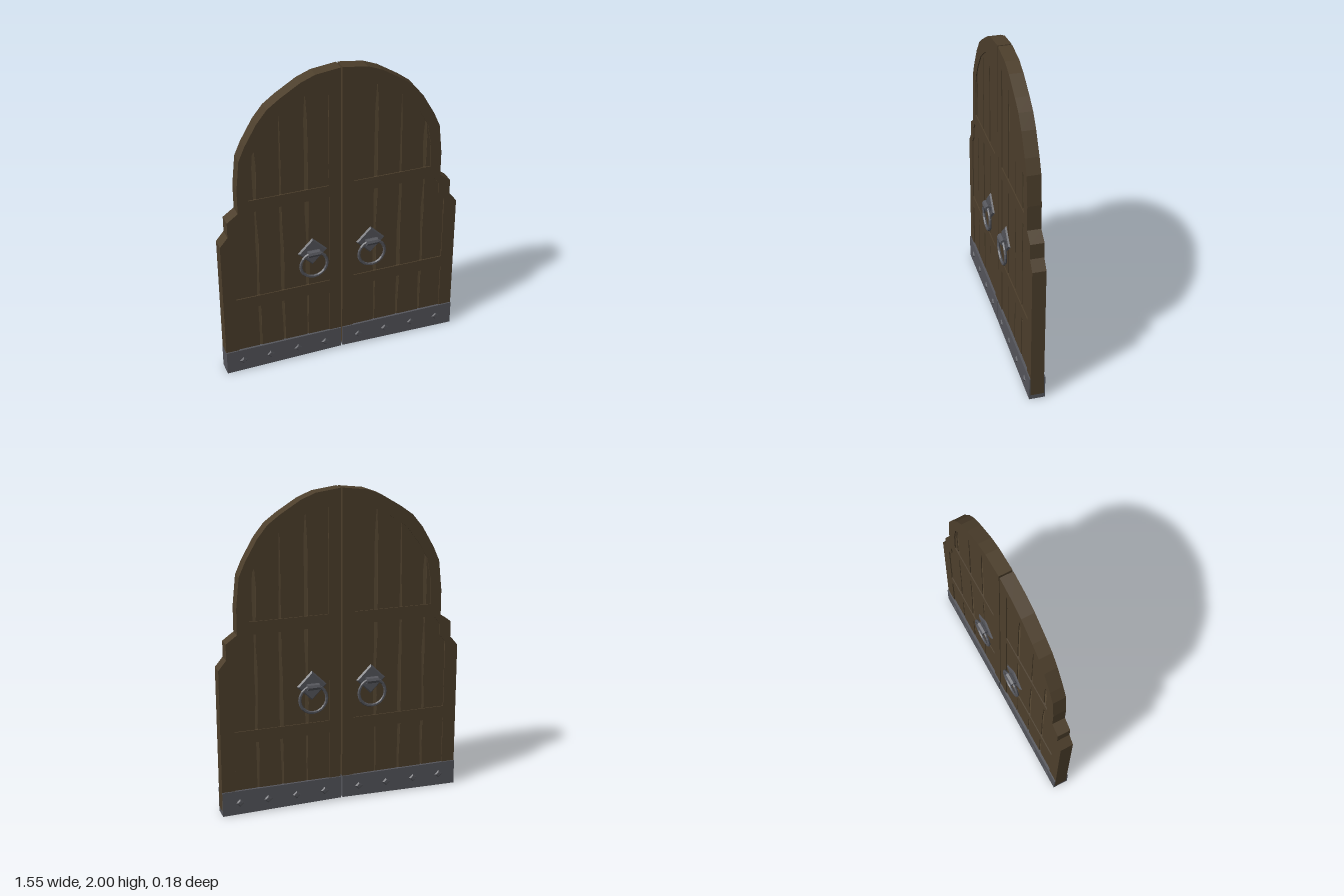
import * as THREE from 'three';

const material = (color) => new THREE.MeshStandardMaterial({ color, flatShading: true, roughness: 0.9 });
const wood = material(0x4d3f2c);
const seamWood = material(0x5c4c36);
const iron = material(0x55565c);

// Outline of one leaf, from the meeting edge round to the crown
const LEAF = [[0.005, 0.03], [0.775, 0.03], [0.775, 0.95], [0.725, 1.01], [0.725, 1.11], [0.655, 1.16],
  [0.655, 1.32], [0.635, 1.51], [0.595, 1.6], [0.52, 1.73], [0.455, 1.81], [0.38, 1.865],
  [0.25, 1.945], [0.16, 1.98], [0.005, 2]];

// Openings of the frame, each filled with sunken planks
const PANELS = [
  [[0.08, 0.13], [0.69, 0.13], [0.69, 0.465], [0.08, 0.465]],
  [[0.08, 0.545], [0.69, 0.545], [0.69, 0.98], [0.65, 1.03], [0.65, 1.1], [0.61, 1.155], [0.08, 1.155]],
  [[0.08, 1.235], [0.585, 1.235], [0.58, 1.4], [0.557, 1.53], [0.5, 1.63], [0.42, 1.735],
    [0.3, 1.82], [0.2, 1.868], [0.08, 1.89]],
];

// Tops of the planks, listed from right to left
const PLANKS = [
  { x0: 0.07, x1: 0.225, top: [[0.225, 1.9], [0.07, 1.93]] },
  { x0: 0.225, x1: 0.385, top: [[0.385, 1.82], [0.225, 1.9]] },
  { x0: 0.385, x1: 0.545, top: [[0.545, 1.62], [0.385, 1.82]] },
  { x0: 0.545, x1: 0.7, top: [[0.7, 1.07], [0.63, 1.12], [0.62, 1.45], [0.545, 1.62]] },
];

function seeded(seed) {
  return () => {
    seed = (seed * 16807) % 2147483647;
    return seed / 2147483647;
  };
}

const shapeOf = (points) => new THREE.Shape(points.map(([x, y]) => new THREE.Vector2(x, y)));

// Extrusion centred on z = 0
function slab(shape, halfDepth) {
  const geometry = new THREE.ExtrudeGeometry(shape, { depth: halfDepth * 2, bevelEnabled: false });
  return geometry.translate(0, 0, -halfDepth);
}

function add(parent, name, geometry, mat, x = 0, y = 0, z = 0) {
  const mesh = new THREE.Mesh(geometry, mat);
  mesh.name = name;
  mesh.position.set(x, y, z);
  parent.add(mesh);
  return mesh;
}

// Plank with roughly hewn long edges
function plankShape({ x0, x1, top }, random) {
  const points = [[x0 + 0.006, 0.06], [x1 - 0.006, 0.06]];
  const rightTop = top[0][1];
  const leftTop = top[top.length - 1][1];
  const steps = 9;
  for (let i = 1; i < steps; i++) {
    points.push([x1 - 0.003 - random() * 0.011, 0.06 + (rightTop - 0.06) * i / steps]);
  }
  top.forEach((p) => points.push(p));
  for (let i = steps - 1; i > 0; i--) {
    points.push([x0 + 0.003 + random() * 0.011, 0.06 + (leftTop - 0.06) * i / steps]);
  }
  return shapeOf(points);
}

// Ring handle on a diamond plate, facing +z
function createHandle() {
  const handle = new THREE.Group();
  handle.name = 'ringHandle';
  const plate = new THREE.CylinderGeometry(0.084, 0.096, 0.01, 4).rotateX(Math.PI / 2);
  add(handle, 'handlePlate', plate, iron, 0, 0.79, 0.045);
  const barrel = new THREE.CylinderGeometry(0.022, 0.022, 0.076, 8).rotateZ(Math.PI / 2);
  add(handle, 'handleBarrel', barrel, iron, 0, 0.79, 0.068);
  add(handle, 'handleRing', new THREE.TorusGeometry(0.087, 0.01, 6, 20), iron, 0, 0.71, 0.068);
  return handle;
}

function createLeaf() {
  const leaf = new THREE.Group();
  const random = seeded(41);

  // Frame with openings
  const frame = shapeOf(LEAF);
  PANELS.forEach((panel) => frame.holes.push(shapeOf(panel)));
  add(leaf, 'frame', slab(frame, 0.042), wood);

  // Seam backing and planks
  PANELS.forEach((panel) => add(leaf, 'panelBacking', slab(shapeOf(panel), 0.03), seamWood));
  PLANKS.forEach((plank, i) => {
    add(leaf, 'plank', slab(plankShape(plank, random), 0.036 - (i % 2) * 0.001), wood);
  });

  // Iron kick band
  const band = shapeOf([[0.005, 0.014], [0.775, 0], [0.775, 0.158], [0.005, 0.158]]);
  add(leaf, 'kickBand', slab(band, 0.05), iron);

  // Studs and handles on both faces
  for (const side of [0, 1]) {
    const face = new THREE.Group();
    face.name = side ? 'backFittings' : 'frontFittings';
    face.rotation.y = side * Math.PI;
    const sign = side ? -1 : 1;
    for (const x of [0.115, 0.3, 0.485, 0.665]) {
      const stud = new THREE.CylinderGeometry(0.016, 0.028, 0.009, 4).rotateX(Math.PI / 2);
      add(face, 'stud', stud, iron, sign * x, 0.078, 0.053);
    }
    const handle = createHandle();
    handle.position.x = sign * 0.192;
    face.add(handle);
    leaf.add(face);
  }
  return leaf;
}

export function createModel() {
  const door = new THREE.Group();
  door.name = 'archedDoubleDoor';
  const left = createLeaf();
  left.name = 'leftLeaf';
  // The other leaf is the same one turned half round
  const right = createLeaf();
  right.name = 'rightLeaf';
  right.rotation.y = Math.PI;
  door.add(left, right);
  return door;
}
